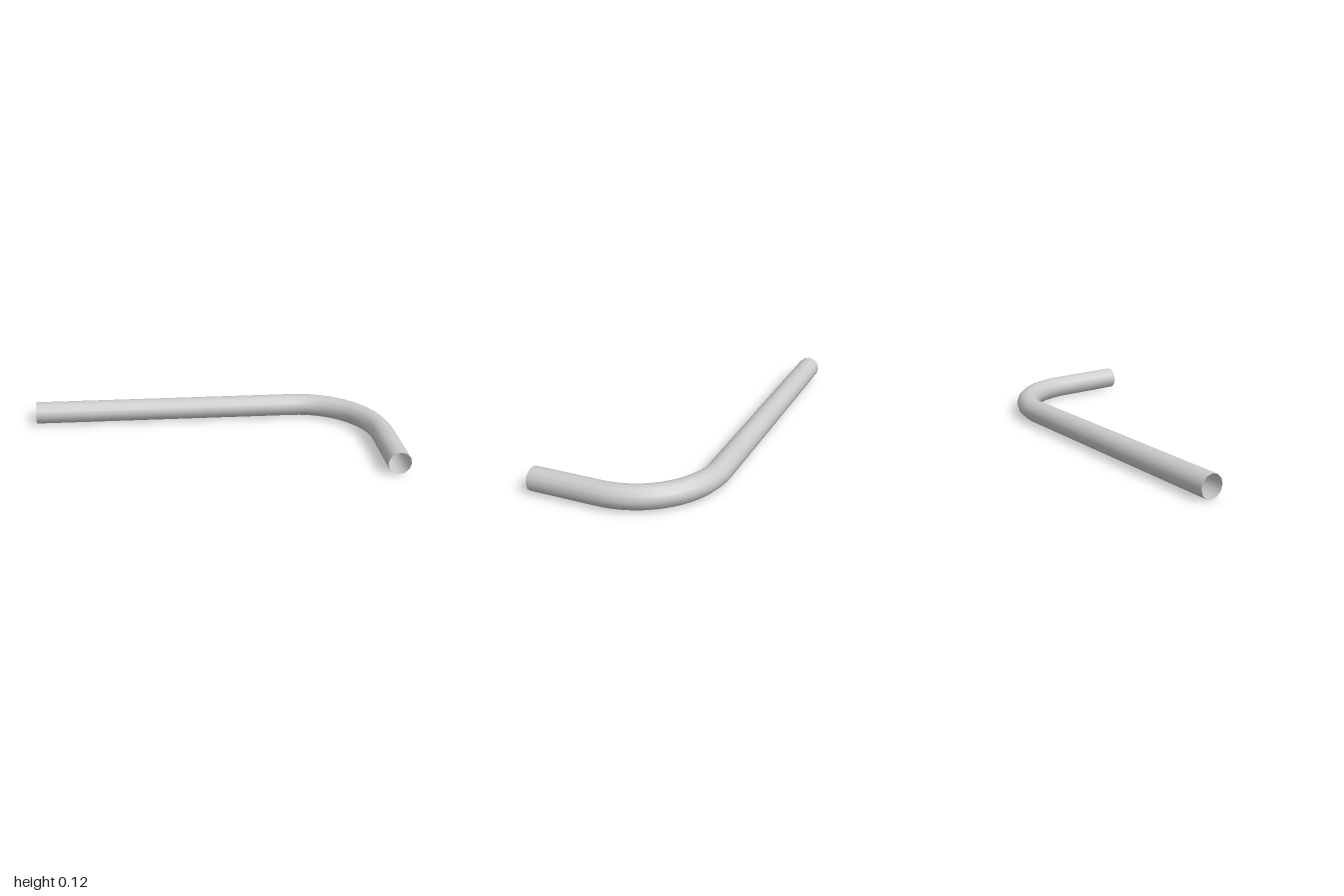
import * as THREE from 'three';

const R = 0.0625;    // pipe radius
const BEND = 0.435;  // centre-line radius of the elbow
const SIDES = 12, STEPS = 16;
const X = 1 - R, Z = -0.433 + R; // centre lines of the two straight runs

// Stations along the pipe: centre x, z and heading angle
function stations() {
  const list = [[-1, Z, 0]];
  for (let i = 0; i <= STEPS; i++) {
    const a = (i / STEPS) * Math.PI / 2;
    list.push([X - BEND + BEND * Math.sin(a), Z + BEND - BEND * Math.cos(a), a]);
  }
  list.push([X, 0.433, Math.PI / 2]);
  return list;
}

export function createModel() {
  const group = new THREE.Group();
  group.name = 'bentPipe';

  // Open cylinder whose rings are moved onto the stations
  const rows = stations();
  const geo = new THREE.CylinderGeometry(R, R, 1, SIDES, rows.length - 1, true);
  const pos = geo.attributes.position, nor = geo.attributes.normal;
  for (let i = 0; i < pos.count; i++) {
    const [cx, cz, a] = rows[Math.floor(i / (SIDES + 1))];
    const s = Math.sin(a), c = Math.cos(a);
    const out = pos.getX(i), up = pos.getZ(i);
    pos.setXYZ(i, cx + s * out, R + up, cz - c * out);
    nor.setXYZ(i, s * out / R, up / R, -c * out / R);
  }

  const pipe = new THREE.Mesh(geo, new THREE.MeshStandardMaterial({ color: 0xcccccc, side: THREE.DoubleSide }));
  pipe.name = 'pipe';
  group.add(pipe);
  return group;
}
